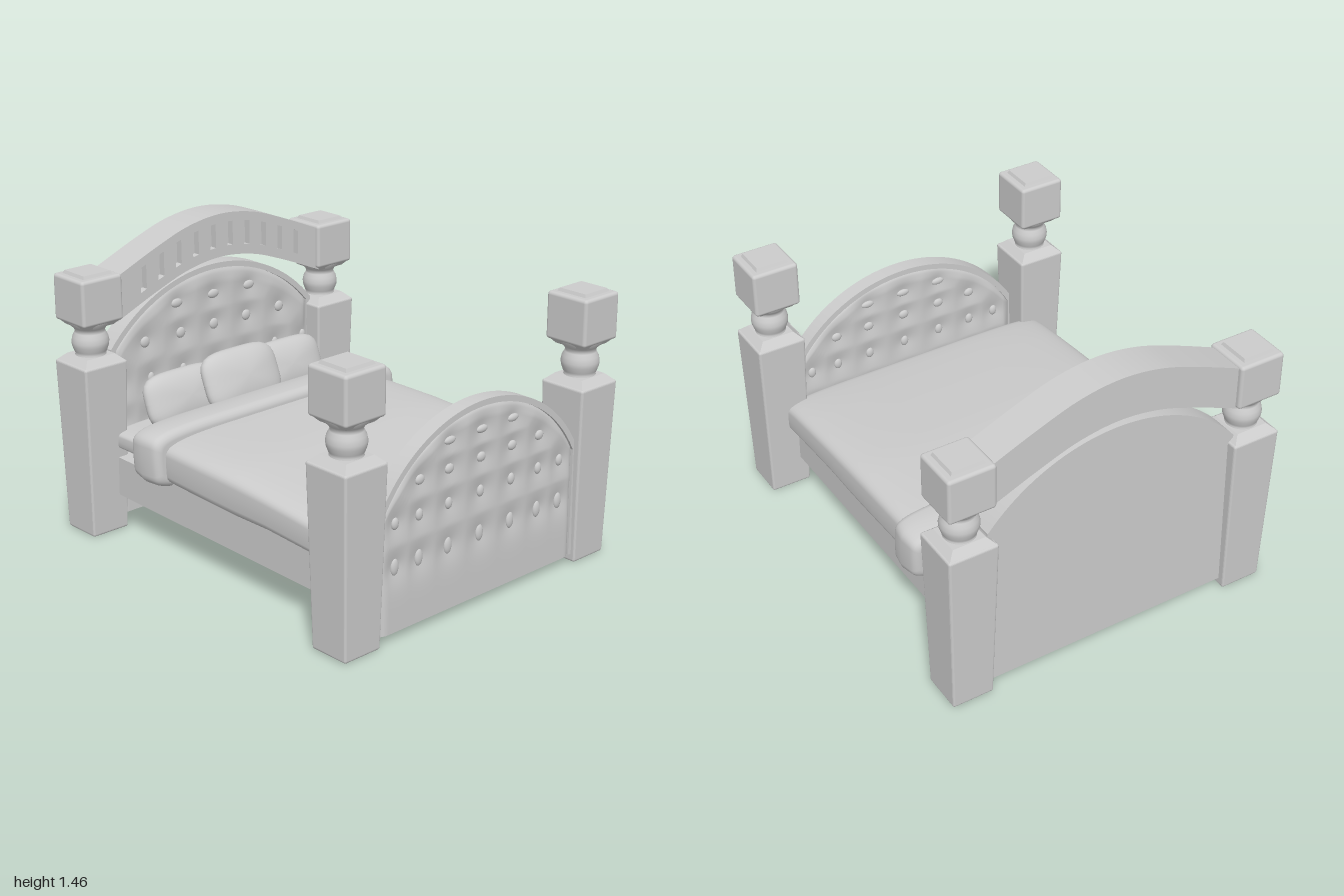
import * as THREE from 'three';
import { toCreasedNormals } from 'three/addons/utils/BufferGeometryUtils.js';
import { RoundedBoxGeometry } from 'three/addons/geometries/RoundedBoxGeometry.js';

const grey = new THREE.MeshStandardMaterial({ color: 0xcccccc });

function add(parent, name, geometry, x = 0, y = 0, z = 0) {
  const mesh = new THREE.Mesh(geometry, grey);
  mesh.name = name;
  mesh.position.set(x, y, z);
  parent.add(mesh);
  return mesh;
}

// Move every vertex by a rule, then refresh the normals.
function reshape(geometry, rule) {
  const p = geometry.attributes.position, v = new THREE.Vector3();
  for (let i = 0; i < p.count; i++) {
    rule(v.fromBufferAttribute(p, i));
    p.setXYZ(i, v.x, v.y, v.z);
  }
  geometry.computeVertexNormals();
  return geometry;
}

// Extrude an outline drawn in the z-y plane from x0 to x1.
function slab(points, x0, x1, holes = []) {
  const shape = new THREE.Shape(points);
  shape.holes = holes.map((h) => new THREE.Path(h));
  const g = new THREE.ExtrudeGeometry(shape, { depth: x1 - x0, bevelEnabled: false });
  return toCreasedNormals(g.rotateY(Math.PI / 2).translate(x0, 0, 0), 0.5);
}

const spow = (v, e) => Math.sign(v) * Math.abs(v) ** e;

// Soft body along x; sections are [x, bottom, top, halfWidth], ends rounded by r.
function loft(sections, r, n = 5, sides = 64) {
  const rings = [], first = sections[0], last = sections[sections.length - 1];
  const end = (s, dir) => [0, 1, 2, 3, 4, 5].map((k) => {
    const a = (k / 5) * Math.PI / 2, inset = r * (1 - Math.sin(a));
    return [s[0] + dir * r * (1 - Math.cos(a)), s[1] + inset, s[2] - inset, s[3] - inset];
  });
  const centre = (s) => [s[0], (s[1] + s[2]) / 2, (s[1] + s[2]) / 2, 0];
  rings.push(centre(first), ...end(first, 1), ...sections.slice(1, -1), ...end(last, -1).reverse(), centre(last));
  const pos = [], idx = [];
  rings.forEach(([x, y0, y1, w], i) => {
    for (let j = 0; j < sides; j++) {
      const t = (j / sides) * Math.PI * 2;
      pos.push(x, (y0 + y1) / 2 + spow(Math.sin(t), 2 / n) * (y1 - y0) / 2, spow(Math.cos(t), 2 / n) * w);
      if (i === rings.length - 1) continue;
      const a = i * sides + j, b = i * sides + (j + 1) % sides;
      idx.push(a, a + sides, b, b, a + sides, b + sides);
    }
  });
  const g = new THREE.BufferGeometry();
  g.setAttribute('position', new THREE.Float32BufferAttribute(pos, 3));
  g.setIndex(idx);
  g.computeVertexNormals();
  return g;
}

// Post: tapered leg, turned neck and square head.
function makePost(x, z) {
  const post = new THREE.Group();
  post.name = 'post';
  post.position.set(x, 0, z);
  const leg = new RoundedBoxGeometry(0.245, 0.86, 0.245, 3, 0.012).translate(0, 0.43, 0);
  add(post, 'leg', reshape(leg, (v) => {
    const k = 0.84 + 0.16 * v.y / 0.86;
    v.x *= k; v.z *= k;
  }));
  const frustum = (top, bottom, h) => toCreasedNormals(
    new THREE.CylinderGeometry(top * Math.SQRT1_2, bottom * Math.SQRT1_2, h, 4).rotateY(Math.PI / 4), 0.5);
  add(post, 'shoulder', frustum(0.16, 0.235, 0.035), 0, 0.873, 0);
  const profile = [[0.085, 0.87], [0.072, 0.895], [0.078, 0.91], [0.087, 0.935], [0.089, 0.955], [0.084, 0.98],
    [0.073, 1.0], [0.07, 1.01], [0.078, 1.025], [0.1, 1.045], [0.105, 1.07]];
  add(post, 'neck', new THREE.LatheGeometry(profile.map((p) => new THREE.Vector2(...p)), 32));
  add(post, 'headUnderside', frustum(0.215, 0.16, 0.03), 0, 1.05, 0);
  add(post, 'head', new RoundedBoxGeometry(0.232, 0.225, 0.232, 3, 0.016), 0, 1.17, 0);
  add(post, 'cap', frustum(0.15, 0.17, 0.02), 0, 1.287, 0);
  return post;
}

// Arched board with a rim; rows are [y, buttonWidth, buttonHeight, z positions].
function makeBoard(name, { x0, x1, apex, radius, halfWidth, rows, faces }) {
  const board = new THREE.Group(), bottom = 0.04, rim = 0.028;
  board.name = name;
  const top = (z, inset = 0) => apex - radius + Math.sqrt((radius - inset) ** 2 - z * z);
  const arch = (w, inset) => Array.from({ length: 49 }, (_, i) => {
    const z = w * (i / 24 - 1);
    return new THREE.Vector2(z, top(z, inset));
  });
  const foot = (z) => new THREE.Vector2(z, bottom);
  const w = halfWidth, wi = halfWidth - rim;
  add(board, 'rim', slab([foot(-w), ...arch(w, 0), foot(w), foot(wi), ...arch(wi, rim).reverse(), foot(-wi)], x0, x1));
  const backInset = faces.includes(-1) ? 0.018 : 0;
  add(board, 'core', slab([foot(-w + 0.01), ...arch(w - 0.01, 0.01), foot(w - 0.01)], x0 + backInset, x1 - 0.018));

  const buttons = rows.flatMap(([y, bw, bh, zs]) =>
    zs.flatMap((z) => (z ? [z, -z] : [0]).map((s) => ({ y, z: s, bw, bh }))));
  for (const dir of faces) {
    const base = dir > 0 ? x1 : x0;
    // Padding swells between the buttons and sinks at each of them.
    const pad = new THREE.PlaneGeometry(2, 1, 84, 84);
    add(board, 'tuftedPadding', reshape(pad, (v) => {
      const u = v.x, t = v.y + 0.5, z = -u * wi * dir;
      const y = bottom + t * (top(z, rim) - bottom);
      let d = 1;
      for (const b of buttons) d = Math.min(d, Math.hypot(b.z - z, b.y - y));
      const edge = Math.min(1, (1 - t) / 0.06, (1 - Math.abs(u)) / 0.04);
      v.set(base + dir * (-0.014 + 0.02 * (1 - Math.exp(-((d / 0.07) ** 1.5))) * Math.sqrt(Math.max(edge, 0))), y, z);
    }));
    for (const b of buttons) {
      add(board, 'button', new THREE.SphereGeometry(1, 16, 10), base - dir * 0.01, b.y, b.z)
        .scale.set(0.013, b.bh / 2, b.bw / 2);
    }
  }
  return board;
}

// Curved crossbeam with a row of recessed slots facing the bed.
function makeBeam() {
  const beam = new THREE.Group();
  beam.name = 'archedBeam';
  const curve = new THREE.SplineCurve([[-0.64, 1.262], [-0.4, 1.362], [-0.2, 1.43], [0, 1.455], [0.2, 1.43],
    [0.4, 1.362], [0.64, 1.262]].map((p) => new THREE.Vector2(...p)));
  const line = curve.getPoints(48);
  const height = (z) => {
    const i = Math.max(1, line.findIndex((p) => p.x >= z)), a = line[i - 1], b = line[i];
    return a.y + (b.y - a.y) * (z - a.x) / (b.x - a.x);
  };
  const outline = [...line, ...line.map((p) => new THREE.Vector2(p.x, p.y - 0.215)).reverse()];
  const slots = Array.from({ length: 10 }, (_, i) => {
    const z = (i - 4.5) * 0.107, h = 0.018;
    return [[z - h, 0.165], [z + h, 0.165], [z + h, 0.045], [z - h, 0.045]]
      .map(([s, drop]) => new THREE.Vector2(s, height(s) - drop));
  });
  add(beam, 'beamBack', slab(outline, -0.97, -0.82));
  add(beam, 'slottedFront', slab(outline, -0.82, -0.785, slots));
  return beam;
}

// Pillow: a sphere squared off towards a cushion, leaning on the headboard.
function addPillow(parent, x, y, z, height, lean) {
  const g = reshape(new THREE.SphereGeometry(1, 40, 28).rotateX(Math.PI / 2).rotateY(Math.PI / 2), (v) => {
    const k = (Math.abs(v.y) ** 4 + Math.abs(v.z) ** 4) ** 0.25;
    const flat = Math.hypot(v.y, v.z) || 1;
    const grow = k > 0 ? flat / k : 1;
    v.set(spow(v.x, 0.9) * 0.068, v.y * grow * height / 2, v.z * grow * 0.23);
  });
  add(parent, 'pillow', g, x, y, z).rotation.z = lean;
}

export function createModel() {
  const bed = new THREE.Group();
  bed.name = 'bed';

  for (const x of [-0.88, 0.877]) for (const z of [-0.735, 0.735]) bed.add(makePost(x, z));

  bed.add(makeBoard('headboard', {
    x0: -0.95, x1: -0.85, apex: 1.19, radius: 0.83, halfWidth: 0.64, faces: [1],
    rows: [[1.035, 0.07, 0.045, [0, 0.23]], [0.88, 0.055, 0.055, [0, 0.21, 0.43]],
      [0.69, 0.04, 0.06, [0, 0.2, 0.4, 0.59]], [0.5, 0.04, 0.07, [0, 0.2, 0.4, 0.59]]],
  }));
  bed.add(makeBoard('footboard', {
    x0: 0.885, x1: 0.96, apex: 0.965, radius: 0.72, halfWidth: 0.64, faces: [1, -1],
    rows: [[0.83, 0.07, 0.036, [0, 0.2]], [0.7, 0.054, 0.046, [0, 0.2, 0.38]],
      [0.54, 0.042, 0.056, [0, 0.2, 0.38, 0.525]], [0.34, 0.046, 0.08, [0, 0.2, 0.38, 0.525]]],
  }));
  bed.add(makeBeam());

  // Base, slightly lower towards the foot
  const base = new THREE.BoxGeometry(1.72, 0.195, 1.36).translate(0.04, 0.267, 0);
  add(bed, 'base', toCreasedNormals(reshape(base, (v) => { v.y -= 0.016 * v.x; }), 0.5));

  // Bedding
  add(bed, 'mattress', loft([[-0.83, 0.4, 0.515, 0.68], [-0.3, 0.4, 0.53, 0.685], [0.76, 0.36, 0.49, 0.68]], 0.04));
  add(bed, 'blanket', loft([[-0.46, 0.345, 0.58, 0.715], [-0.3, 0.342, 0.586, 0.725], [0, 0.333, 0.584, 0.73],
    [0.15, 0.33, 0.577, 0.73], [0.35, 0.335, 0.56, 0.73], [0.55, 0.325, 0.542, 0.73], [0.7, 0.318, 0.525, 0.73],
    [0.815, 0.312, 0.512, 0.73]], 0.05));
  const fold = loft([[-0.55, 0.345, 0.62, 0.775], [-0.45, 0.335, 0.632, 0.785], [-0.35, 0.335, 0.63, 0.775]], 0.04, 6);
  add(bed, 'foldedCover', reshape(fold, (v) => { v.x -= 0.05 * (v.y - 0.5); }));
  addPillow(bed, -0.7, 0.625, -0.33, 0.27, 0.35);
  addPillow(bed, -0.7, 0.625, 0.325, 0.27, 0.35);
  addPillow(bed, -0.63, 0.665, 0.02, 0.3, 0.4);
  return bed;
}
